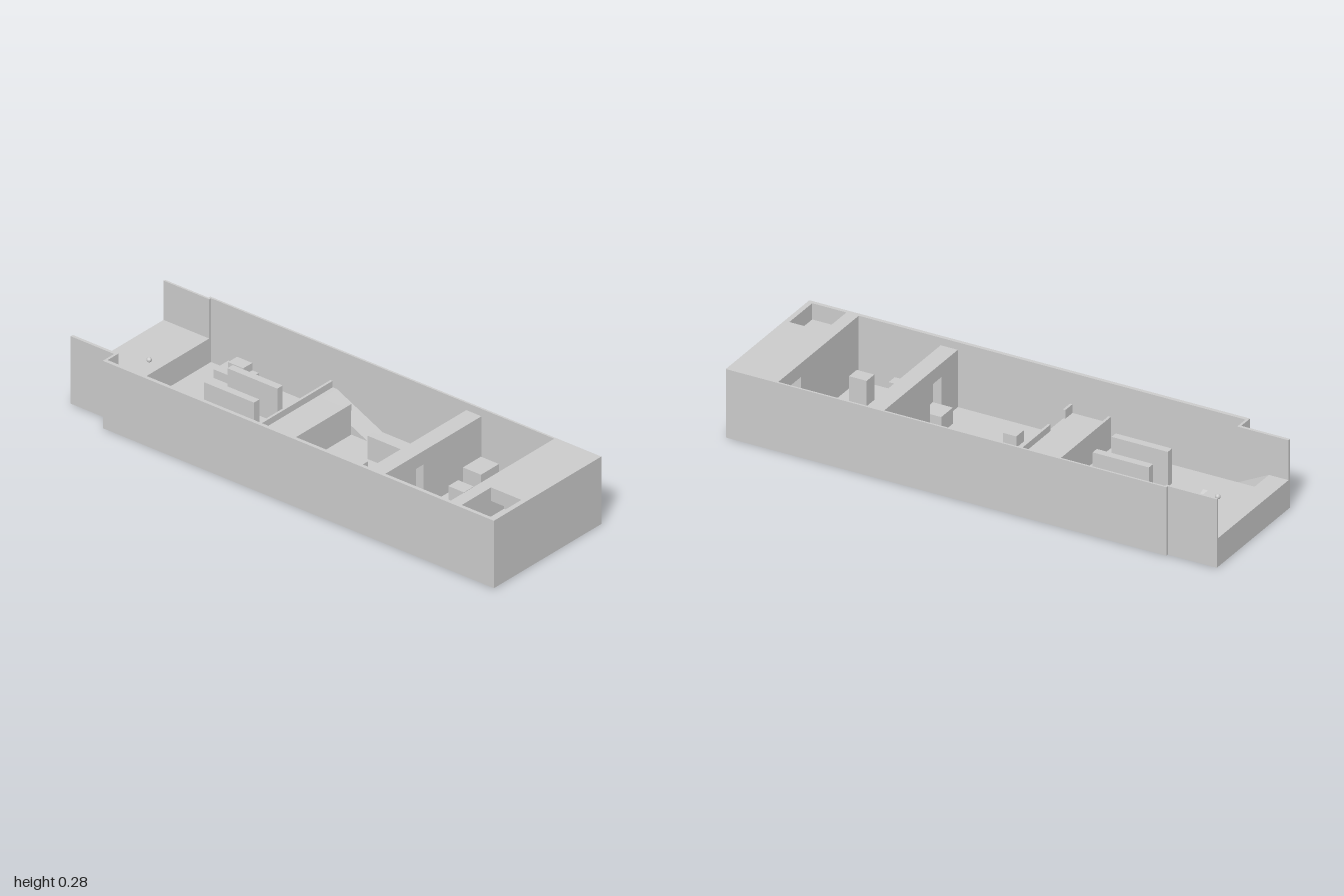
import * as THREE from 'three';

const material = new THREE.MeshStandardMaterial({ color: 0xcccccc, flatShading: true });

export function createModel() {
  const model = new THREE.Group();

  function add(name, geometry) {
    const mesh = new THREE.Mesh(geometry, material);
    mesh.name = name;
    model.add(mesh);
    return mesh;
  }

  // Axis-aligned block given by its limits
  function block(name, x0, x1, y0, y1, z0, z1) {
    const g = new THREE.BoxGeometry(x1 - x0, y1 - y0, z1 - z0);
    g.translate((x0 + x1) / 2, (y0 + y1) / 2, (z0 + z1) / 2);
    return add(name, g);
  }

  const toShape = (pts) => new THREE.Shape(pts.map(([a, b]) => new THREE.Vector2(a, b)));
  const rect = (a0, a1, b0, b1) => [[a0, b0], [a1, b0], [a1, b1], [a0, b1]];

  // Profile in x,y run along z
  function prismZ(name, pts, z0, z1) {
    const g = new THREE.ExtrudeGeometry(toShape(pts), { depth: z1 - z0, bevelEnabled: false });
    g.translate(0, 0, z0);
    return add(name, g);
  }

  // Profile in z,y run along x, with an optional opening
  function prismX(name, pts, x0, x1, hole) {
    const shape = toShape(pts);
    if (hole) shape.holes.push(toShape(hole));
    const g = new THREE.ExtrudeGeometry(shape, { depth: x1 - x0, bevelEnabled: false });
    g.rotateY(-Math.PI / 2);
    g.translate(x1, 0, 0);
    return add(name, g);
  }

  const TOP = 0.275, FLOOR = 0.015, DECK = 0.115;
  const BACK = -0.292, FRONT = 0.283; // inner faces of the long walls

  // Outer shell
  block('mainFloor', -0.8, 1, 0, FLOOR, -0.3, 0.298);
  block('frontWall', -0.8, 0.79, 0, TOP, FRONT, 0.298);
  block('backWall', -0.8, 0.79, 0, TOP, -0.3, BACK);
  block('entryReturnWall', -0.8, -0.79, 0, TOP, 0.223, 0.298);
  block('entryBackReturn', -0.8, -0.79, 0, TOP, -0.3, -0.282);

  // Raised entry platform, its side walls and the way down
  block('entryFrontWall', -1, -0.79, 0, TOP, 0.223, 0.235);
  block('entryBackWall', -1, -0.79, 0, TOP, -0.29, -0.282);
  block('entryPlatform', -1, -0.79, 0, DECK, -0.285, 0.12);
  block('entryPlatformCorner', -1, -0.92, 0, DECK, 0.12, 0.225);
  prismZ('entryRamp', [[-0.92, 0], [-0.79, 0], [-0.79, 0.05], [-0.92, DECK]], 0.12, 0.225);
  block('entryLanding', -0.79, -0.71, 0, 0.05, 0.12, 0.225);
  prismX('lowerRamp', [[0.03, FLOOR], [0.12, FLOOR], [0.12, 0.05]], -0.79, -0.71);
  const knob = add('platformKnob', new THREE.SphereGeometry(0.01, 12, 8));
  knob.position.set(-0.85, DECK + 0.007, -0.02);

  // First room: low barriers and a corner plinth
  for (const z of [-0.12, 0.01, 0.145]) {
    block('barrier', -0.56, -0.33, FLOOR, 0.155, z - 0.015, z + 0.015);
  }
  block('plinth', -0.71, -0.57, FLOOR, 0.05, BACK, -0.21);
  block('plinthStep', -0.67, -0.6, 0.05, 0.08, BACK, -0.242);

  // Crossing deck with low rails and a ramp down to the second room
  block('deck', -0.24, -0.075, FLOOR, DECK, -0.208, FRONT);
  block('deckCorner', -0.24, -0.21, FLOOR, DECK, BACK, -0.208);
  prismZ('deckRamp', [[-0.21, FLOOR], [0, FLOOR], [-0.21, DECK]], BACK, -0.208);
  block('deckRailLeftEdge', -0.24, -0.23, DECK, 0.141, BACK, FRONT);
  block('deckRailRightEdge', -0.083, -0.073, DECK, 0.141, -0.208, 0.125);
  block('deckRailEnd', -0.083, -0.073, DECK, 0.15, 0.232, FRONT);

  // Second room: barrier and stepping blocks
  block('secondBarrier', 0.08, 0.28, FLOOR, 0.11, -0.142, -0.11);
  block('steppingBlock', 0.09, 0.155, FLOOR, 0.07, -0.022, 0.035);
  block('steppingBlock', 0.053, 0.108, FLOOR, 0.06, 0.12, 0.175);
  block('doorStep', 0.338, 0.385, FLOOR, 0.08, 0.082, 0.165);

  // Thick dividing wall with an offset passage
  const divider = rect(BACK, FRONT, FLOOR, 0.245);
  prismX('dividerLeftSlab', divider, 0.385, 0.42, rect(0.082, 0.165, 0.08, 0.19));
  prismX('dividerRightSlab', divider, 0.42, 0.455, rect(0.03, 0.12, 0.08, 0.19));

  // Third room: climbing blocks of rising height
  block('climbingBlock', 0.455, 0.52, FLOOR, 0.08, 0.025, 0.08);
  block('climbingBlock', 0.563, 0.603, FLOOR, 0.11, 0.17, 0.213);
  block('climbingBlock', 0.61, 0.682, FLOOR, 0.18, 0.025, 0.08);
  block('climbingBlock', 0.52, 0.603, FLOOR, 0.14, -0.21, -0.11);

  // Solid end with a doorway, a covered corridor and an open stairwell
  prismX('endDoorWall', rect(-0.3, 0.298, 0, TOP), 0.79, 0.84, rect(-0.21, -0.13, 0.12, 0.22));
  block('corridorBase', 0.84, 0.9, 0, 0.12, -0.3, 0.298);
  block('corridorRoof', 0.84, 0.9, 0.22, TOP, -0.3, 0.12);
  block('corridorBackEnd', 0.84, 0.9, 0.12, 0.22, -0.3, -0.21);
  block('endMass', 0.9, 1, 0, TOP, -0.3, 0.12);
  block('stairwellLedge', 0.9, 0.98, 0, 0.21, 0.12, FRONT);
  block('stairwellSide', 0.98, 1, 0, TOP, 0.12, 0.298);
  block('stairwellFront', 0.84, 0.98, 0, TOP, FRONT, 0.298);
  prismX('stairwellRamp', [[0.12, 0.12], [FRONT, 0.12], [FRONT, 0.21]], 0.84, 0.9);

  return model;
}
